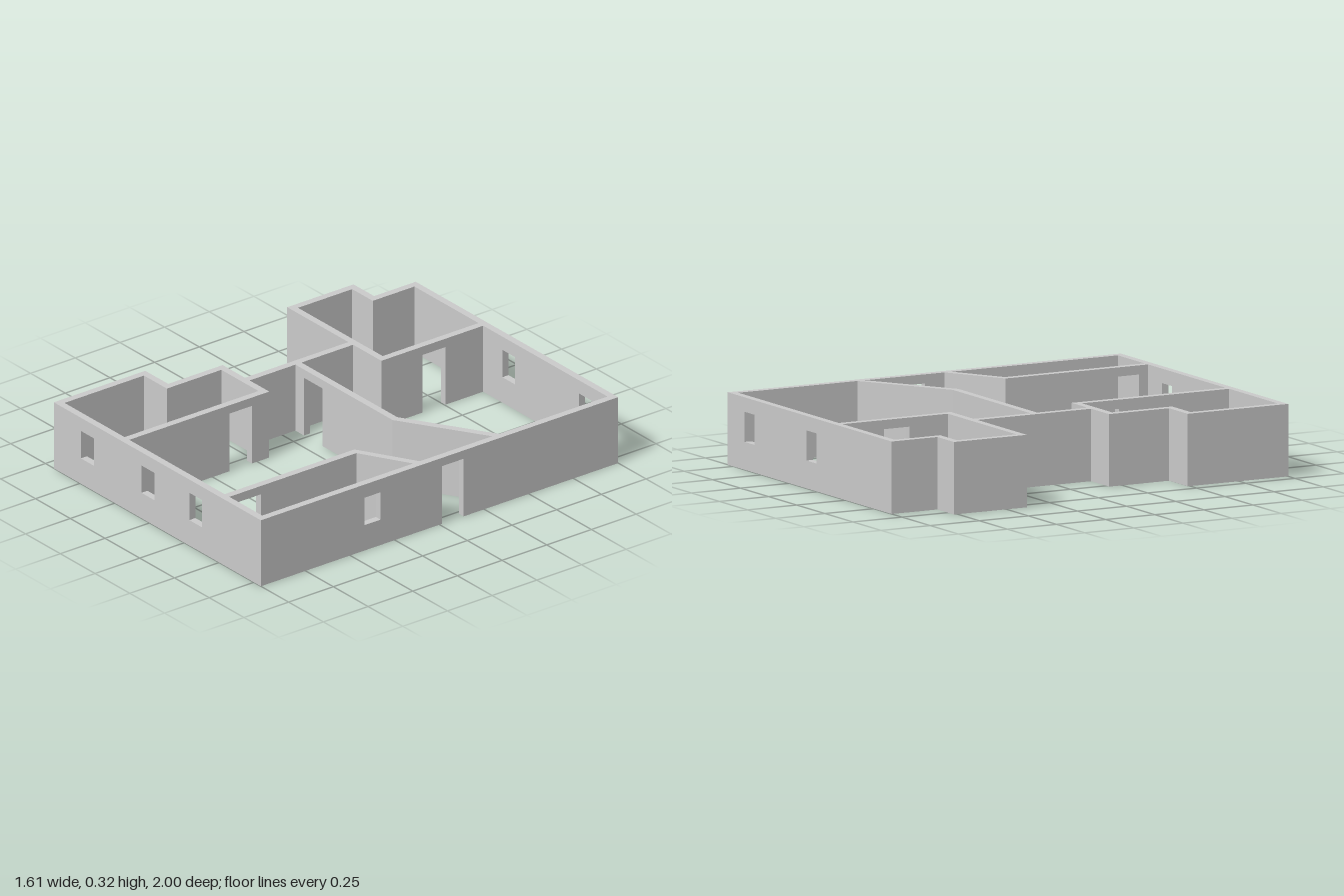
import * as THREE from 'three';

const H = 0.325;         // wall height
const T = 0.034;         // wall thickness
const DOOR_TOP = 0.284;
const SILL = 0.125;
const LINTEL = 0.26;

const material = new THREE.MeshStandardMaterial({ color: 0xcccccc });

function polygon(points) {
  return new THREE.Shape(points.map(([x, y]) => new THREE.Vector2(x, y)));
}

// Straight wall from u0 to u1 along an axis, centred on c across it.
// Doors notch the outline from the floor; windows are holes.
function wall(name, axis, u0, u1, c, { doors = [], windows = [] } = {}) {
  const outline = [[u0, 0]];
  for (const [a, b] of doors) outline.push([a, 0], [a, DOOR_TOP], [b, DOOR_TOP], [b, 0]);
  outline.push([u1, 0], [u1, H], [u0, H]);
  const shape = polygon(outline);
  for (const [a, b] of windows) {
    shape.holes.push(polygon([[a, SILL], [a, LINTEL], [b, LINTEL], [b, SILL]]));
  }
  const geometry = new THREE.ExtrudeGeometry(shape, { depth: T, bevelEnabled: false });
  geometry.translate(0, 0, -T / 2);
  if (axis === 'x') geometry.translate(0, 0, c);
  else geometry.rotateY(-Math.PI / 2).translate(c, 0, 0);
  const mesh = new THREE.Mesh(geometry, material);
  mesh.name = name;
  return mesh;
}

// Slanted wall raised from its [x, z] plan, so its ends are mitred.
function planWall(name, plan) {
  const shape = polygon(plan.map(([x, z]) => [x, -z]));
  const geometry = new THREE.ExtrudeGeometry(shape, { depth: H, bevelEnabled: false });
  geometry.rotateX(-Math.PI / 2);
  const mesh = new THREE.Mesh(geometry, material);
  mesh.name = name;
  return mesh;
}

function section(name, ...walls) {
  const group = new THREE.Group();
  group.name = name;
  group.add(...walls);
  return group;
}

export function createModel() {
  const model = new THREE.Group();
  model.name = 'floorPlan';

  model.add(
    // Long outer walls
    section('outerWalls',
      wall('sideWall', 'z', -1, 1, 0.783, { doors: [[-0.135, -0.015]], windows: [[0.33, 0.42]] }),
      wall('backWall', 'x', -0.657, 0.766, -0.983, { windows: [[0.01, 0.1], [0.56, 0.65]] }),
      wall('frontWall', 'x', -0.69, 0.766, 0.983, {
        windows: [[-0.495, -0.4], [-0.06, 0.035], [0.285, 0.375]],
      })),

    // Stepped room at the back
    section('backRoom',
      wall('upperStepSide', 'z', -0.966, -0.733, -0.64),
      wall('stepWall', 'x', -0.805, -0.657, -0.75),
      wall('lowerStepSide', 'z', -0.733, -0.43, -0.788),
      wall('roomFront', 'x', -0.805, -0.128, -0.413),
      wall('roomPartition', 'z', -0.966, -0.43, -0.145, { doors: [[-0.755, -0.625]] })),

    // Stepped room at the front
    section('frontRoom',
      wall('roomBack', 'x', -0.525, -0.19, 0.2),
      wall('upperStepSide', 'z', 0.217, 0.522, -0.508),
      wall('stepWall', 'x', -0.69, -0.525, 0.505),
      wall('lowerStepSide', 'z', 0.522, 0.966, -0.673),
      wall('roomPartition', 'z', 0.217, 0.966, -0.207, { doors: [[0.28, 0.405]] })),

    // Corridor between the rooms and the bent partition
    section('corridor',
      wall('linkWall', 'z', -0.396, 0.183, -0.348),
      wall('partition', 'x', -0.331, 0.358, -0.09, { doors: [[-0.27, -0.135]] }),
      planWall('slantedPartition',
        [[0.358, -0.107], [0.358, -0.073], [0.369, -0.073], [0.768, -0.322], [0.768, -0.361]])),

    // Narrow side room with a slanted end
    section('sideRoom',
      wall('partition', 'z', 0.256, 0.966, 0.513, { doors: [[0.79, 0.92]] }),
      planWall('slantedEnd',
        [[0.496, 0.24], [0.496, 0.256], [0.53, 0.256], [0.768, 0.12], [0.768, 0.083]])));

  return model;
}
